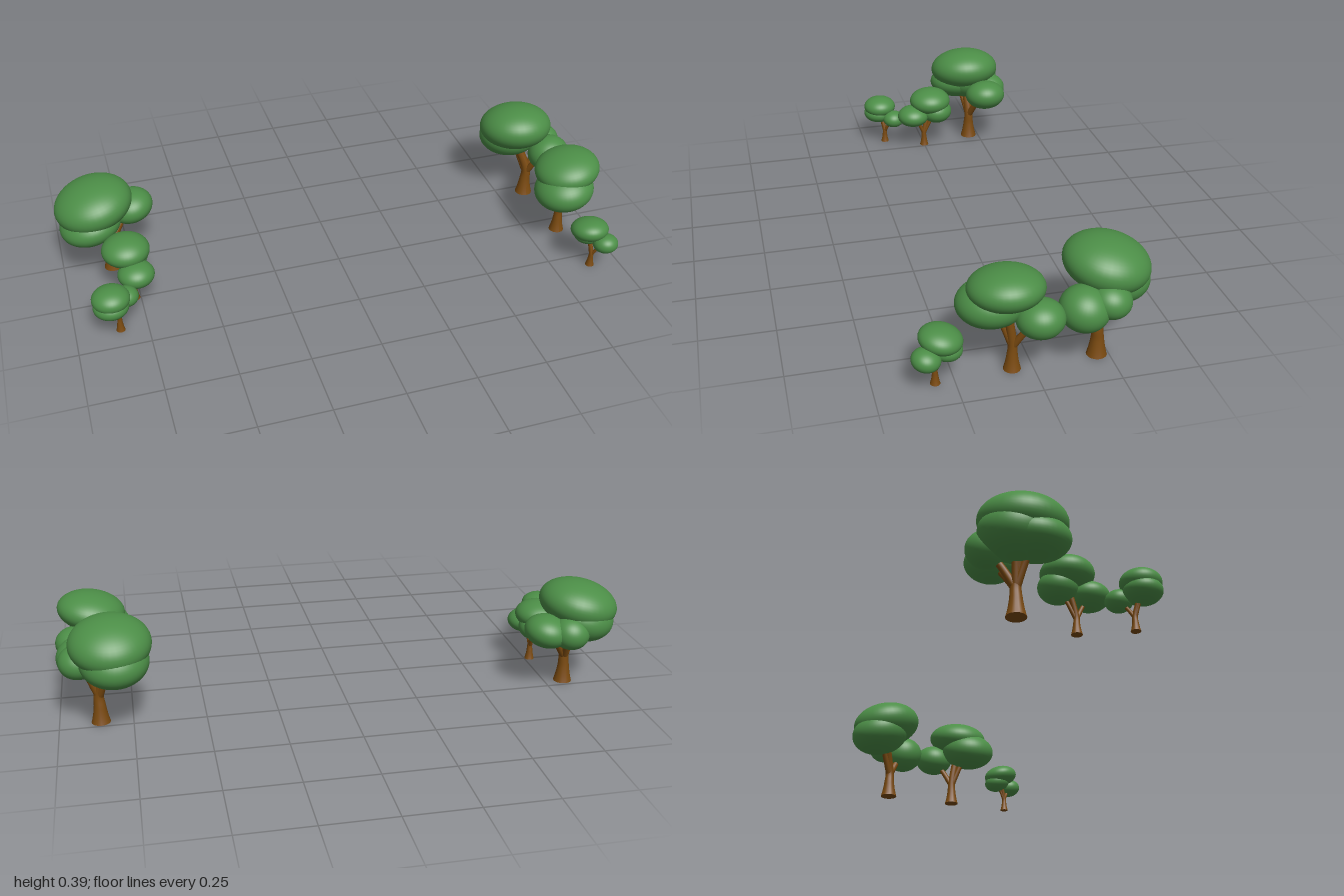
import * as THREE from 'three';

const foliage = new THREE.MeshStandardMaterial({ color: 0x4c8e47 });
foliage.name = 'leaf green';
const bark = new THREE.MeshStandardMaterial({ color: 0x7a4a10 });
bark.name = 'bark brown';

// Smooth tapered limb: rings follow a curve, the radius eases from foot to tip.
function limb(points, foot, tip, ease) {
  const curve = new THREE.CatmullRomCurve3(points);
  const geo = new THREE.CylinderGeometry(1, 1, 1, 16, 24);
  const pos = geo.attributes.position;
  const up = new THREE.Vector3(0, 1, 0);
  const turn = new THREE.Quaternion();
  const v = new THREE.Vector3();
  for (let i = 0; i < pos.count; i++) {
    v.fromBufferAttribute(pos, i);
    const t = THREE.MathUtils.clamp(v.y + 0.5, 0, 1);
    const r = tip + (foot - tip) * (1 - t) ** ease;
    turn.setFromUnitVectors(up, curve.getTangent(t));
    v.set(v.x * r, 0, v.z * r).applyQuaternion(turn).add(curve.getPoint(t));
    pos.setXYZ(i, v.x, Math.max(v.y, 0), v.z);
  }
  geo.computeVertexNormals();
  return geo;
}

// Lobes are [x, y, z, radius, half height]; the first is the crown, which
// the trunk reaches, and each of the others gets a branch from the fork.
function buildTree(name, x, z, base, tiltX, tiltZ, lobes) {
  const tree = new THREE.Group();
  tree.name = name;
  const add = (geo, mat, part) => {
    const mesh = new THREE.Mesh(geo, mat);
    mesh.name = part;
    tree.add(mesh);
    return mesh;
  };
  const fork = base * 3.4;
  const at = (y) => new THREE.Vector3(x, y, z);

  lobes.forEach(([lx, ly, lz, radius, halfHeight], i) => {
    // Rounded leaf mass
    const lobe = add(new THREE.SphereGeometry(radius, 40, 28), foliage, i ? 'leafLobe' : 'crown');
    lobe.position.set(lx, ly, lz);
    lobe.scale.y = halfHeight / radius;
    lobe.rotation.set(tiltX, 0, tiltZ);

    // Trunk with a flared foot, or a branch leaving the fork
    const end = new THREE.Vector3(lx, ly, lz);
    if (i === 0) {
      end.y *= 0.82;
      add(limb([at(0), at(fork * 0.5), at(fork), end], base, base * 0.5, 3), bark, 'trunk');
    } else {
      const mid = at(fork).lerp(end, 0.5);
      add(limb([at(fork * 0.85), mid, end], base * 0.42, base * 0.3, 1), bark, 'branch');
    }
  });
  return tree;
}

export function createModel() {
  const model = new THREE.Group();
  model.name = 'treeGroups';

  // Trees on the right side
  model.add(buildTree('bigTreeRight', -0.82, -0.21, 0.033, 0, 0.2, [
    [-0.86, 0.302, -0.2, 0.141, 0.085],
    [-0.88, 0.24, -0.17, 0.112, 0.068],
    [-0.865, 0.255, -0.225, 0.117, 0.085],
    [-0.725, 0.225, -0.26, 0.082, 0.06],
    [-0.8, 0.225, -0.295, 0.067, 0.06],
  ]));
  model.add(buildTree('middleTreeRight', -0.77, 0, 0.018, 0, 0, [
    [-0.78, 0.198, -0.03, 0.085, 0.053],
    [-0.765, 0.155, -0.055, 0.064, 0.05],
    [-0.76, 0.143, 0.048, 0.065, 0.044],
  ]));
  model.add(buildTree('smallTreeRight', -0.845, 0.16, 0.016, 0, 0, [
    [-0.865, 0.157, 0.175, 0.066, 0.042],
    [-0.868, 0.128, 0.18, 0.062, 0.04],
    [-0.81, 0.115, 0.125, 0.044, 0.035],
  ]));

  // Trees on the left side
  model.add(buildTree('bigTreeLeft', 0.86, -0.213, 0.033, -0.2, 0, [
    [0.81, 0.303, -0.247, 0.139, 0.087],
    [0.8, 0.25, -0.275, 0.117, 0.082],
    [0.915, 0.215, -0.145, 0.08, 0.073],
    [0.92, 0.235, -0.225, 0.066, 0.057],
  ]));
  model.add(buildTree('middleTreeLeft', 0.872, 0.065, 0.028, 0, 0.18, [
    [0.87, 0.296, 0.088, 0.12, 0.068],
    [0.845, 0.235, 0.128, 0.11, 0.075],
    [0.925, 0.208, -0.005, 0.076, 0.062],
  ]));
  model.add(buildTree('smallTreeLeft', 0.89, 0.31, 0.016, -0.2, 0, [
    [0.88, 0.153, 0.29, 0.069, 0.042],
    [0.885, 0.121, 0.275, 0.052, 0.037],
    [0.922, 0.115, 0.343, 0.046, 0.036],
  ]));
  return model;
}
